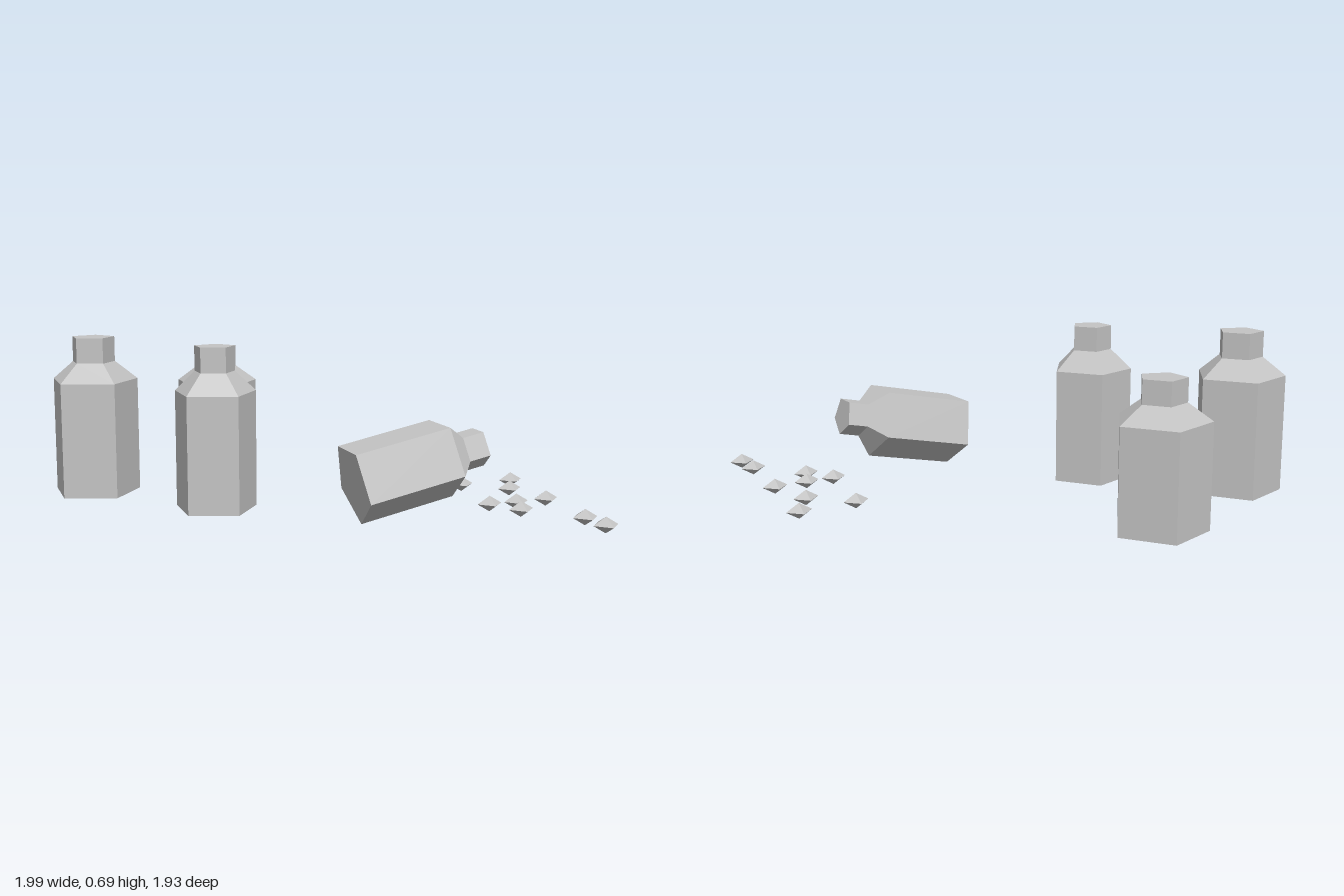
import * as THREE from 'three';

const grey = new THREE.MeshStandardMaterial({ color: 0xc4c4c4 });
grey.name = 'grey';
grey.flatShading = true;

// Five-sided bottle standing on its base, one corner towards +x
function bottle(name, radius, neckRadius, shoulderY, neckY, topY) {
  const profile = [
    [0, 0], [radius, 0], [radius, shoulderY],
    [neckRadius, neckY], [neckRadius, topY], [0, topY],
  ].map(([r, y]) => new THREE.Vector2(r, y));
  const mesh = new THREE.Mesh(new THREE.LatheGeometry(profile, 5, Math.PI / 2), grey);
  mesh.name = name;
  return mesh;
}

export function createModel() {
  const model = new THREE.Group();
  model.name = 'bottlesAndPills';

  // Standing bottles
  const tall = bottle('tallBottle', 0.196, 0.097, 0.5, 0.58, 0.69);
  tall.position.set(-0.841, 0, -0.497);
  const short = bottle('shortBottle', 0.197, 0.097, 0.433, 0.505, 0.602);
  short.position.set(-0.21, 0, -0.779);
  const slim = bottle('slimBottle', 0.178, 0.088, 0.492, 0.578, 0.683);
  slim.position.set(-0.418, 0, -0.003);

  // Tipped bottle, mouth towards the pills and slightly raised
  const tipped = bottle('tippedBottle', 0.169, 0.083, 0.403, 0.471, 0.562);
  tipped.rotation.z = -THREE.MathUtils.degToRad(78);
  tipped.position.set(0.008, 0.176, 0.492);
  model.add(tall, short, slim, tipped);

  // Spilled pills: flattened octahedra
  const pillGeometry = new THREE.OctahedronGeometry(0.055).scale(1, 0.6, 1);
  const spots = [
    [0.69, 0.062], [0.94, 0.05], [0.85, 0.208], [0.632, 0.441], [0.756, 0.44],
    [0.902, 0.43], [0.709, 0.567], [0.881, 0.77], [0.889, 0.904],
  ];
  spots.forEach(([x, z], i) => {
    const pill = new THREE.Mesh(pillGeometry, grey);
    pill.name = `pill${i + 1}`;
    pill.position.set(x, 0.037, z);
    model.add(pill);
  });

  return model;
}
